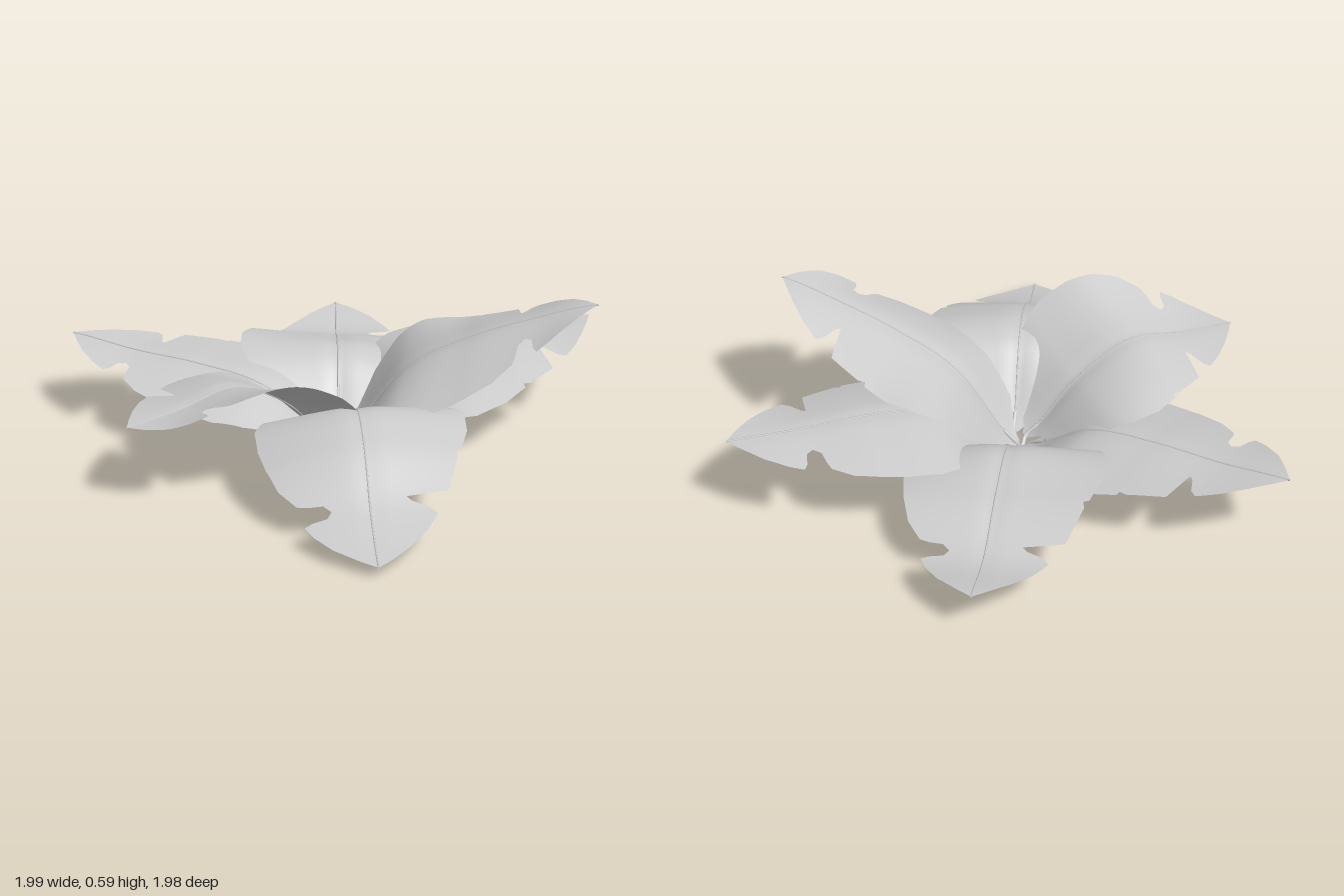
import * as THREE from 'three';

const REF = 0.36; // half-width at which the edge heights apply

// Half-width of the blade along its length, one torn notch or more on each side
const wedgeSide = [[0, .015], [.03, .05], [.07, .14], [.12, .25], [.2, .33], [.3, .37], [.42, .365], [.52, .33],
  [.525, .31], [.55, .315], [.63, .285], [.675, .268], [.68, .235], [.695, .125], [.71, .14], [.735, .2],
  [.76, .222], [.83, .178], [.9, .115], [.96, .05], [1, 0]];
const roundSide = [[0, .015], [.03, .05], [.07, .13], [.12, .24], [.2, .31], [.3, .35], [.42, .345], [.52, .325],
  [.62, .29], [.69, .235], [.7, .2], [.705, .15], [.73, .125], [.755, .14], [.765, .19], [.78, .215],
  [.83, .19], [.9, .135], [.96, .06], [1, 0]];

// Straight-line interpolation in a profile
function widthAt(profile, u) {
  for (let i = 1; i < profile.length; i++) {
    const [u0, w0] = profile[i - 1], [u1, w1] = profile[i];
    if (u <= u1) return w0 + (w1 - w0) * (u - u0) / (u1 - u0);
  }
  return 0;
}

// Each leaf: base and tip in plan [x, z], then heights from base to tip
// along the rib and along the left and right edges, seen looking outward.
// A positive sweep carries the left edge towards the tip, a negative one back
const leaves = [
  { name: 'westLeaf', base: [.06, .02], tip: [-1, -.02], mirror: true, wide: [.93, .96], sweep: 0,
    rib: [.03, .19, .235, .25, .28], left: [.06, .13, .16, .2, .28], right: [.06, .16, .2, .23, .28] },
  { name: 'northLeaf', base: [.07, -.05], tip: [-.3, -.99], wide: [1, 1], sweep: 0,
    rib: [.03, .23, .21, .13, .17], left: [.08, .23, .24, .14, .17], right: [.06, .15, .17, .12, .16] },
  { name: 'northEastLeaf', base: [.12, -.05], tip: [.8, -.84], mirror: true, wide: [1, 1], sweep: .2,
    rib: [.03, .25, .3, .3, .31], left: [.1, .22, .25, .25, .3], right: [.05, .15, .2, .22, .3] },
  { name: 'eastLeaf', base: [.1, -.01], tip: [.99, -.2], wide: [1, .97], sweep: -.12,
    rib: [.03, .31, .44, .525, .59], left: [.1, .33, .39, .46, .59], right: [.08, .2, .29, .39, .59] },
  { name: 'southEastLeaf', base: [.15, .05], tip: [.6, .985], wide: [1, 1.03], sweep: 0,
    rib: [.03, .27, .26, .11, .04], left: [.08, .25, .22, .11, .04], right: [.1, .2, .16, .06, .04] },
  { name: 'southWestLeaf', base: [.1, .05], tip: [-.39, .77], mirror: true, wide: [1, .98], sweep: -.22,
    rib: [.03, .23, .34, .31, .29], left: [.15, .33, .45, .42, .3], right: [.08, .22, .25, .25, .28] },
];

const heightCurve = (list) => {
  const curve = new THREE.SplineCurve(list.map((h, i) => new THREE.Vector2(i / 4, h)));
  return (u) => curve.getPoint(u).y;
};

// Surface point of a leaf: u runs base to tip, v is the offset to the right
function leafSurface(leaf) {
  const base = new THREE.Vector2(...leaf.base);
  const along = new THREE.Vector2(...leaf.tip).sub(base);
  const dir = along.clone().normalize();
  const [rib, left, right] = [leaf.rib, leaf.left, leaf.right].map(heightCurve);
  return (u, v) => {
    const k = Math.pow(Math.abs(v) / REF, 1.4);
    const y = THREE.MathUtils.lerp(rib(u), (v < 0 ? left : right)(u), k);
    // shallow fold along the rib
    const fold = 0.012 * Math.min(1, Math.abs(v) / 0.05) * (1 - u) * Math.min(1, u * 8);
    const s = u + leaf.sweep * Math.max(0, -v) * Math.max(0, 1 - u * 1.4);
    return new THREE.Vector3(base.x + along.x * s - dir.y * v, y + fold, base.y + along.y * s + dir.x * v);
  };
}

function bladeGeometry(leaf, surface) {
  const leftSide = leaf.mirror ? roundSide : wedgeSide;
  const rightSide = leaf.mirror ? wedgeSide : roundSide;
  const rows = [...new Set([...Array.from({ length: 81 }, (_, i) => i / 80),
    ...wedgeSide.map((p) => p[0]), ...roundSide.map((p) => p[0])])].sort((a, b) => a - b);
  const half = 12, cols = half * 2 + 1, pos = [], index = [];
  rows.forEach((u, r) => {
    const wl = widthAt(leftSide, u) * leaf.wide[0], wr = widthAt(rightSide, u) * leaf.wide[1];
    for (let c = 0; c < cols; c++) {
      const s = (c - half) / half;
      pos.push(...surface(u, s * (s < 0 ? wl : wr)).toArray());
      if (r > 0 && c > 0) {
        const b = r * cols + c, a = b - 1, d = b - cols, e = a - cols;
        index.push(e, d, b, e, b, a);
      }
    }
  });
  const geo = new THREE.BufferGeometry();
  geo.setAttribute('position', new THREE.Float32BufferAttribute(pos, 3));
  geo.setIndex(index);
  geo.computeVertexNormals();
  return geo;
}

export function createModel() {
  const model = new THREE.Group();
  model.name = 'leafRosette';
  const material = new THREE.MeshStandardMaterial({ color: 0xcccccc, side: THREE.DoubleSide });
  const add = (parent, geo, name) => {
    const mesh = new THREE.Mesh(geo, material);
    mesh.name = name;
    parent.add(mesh);
  };

  for (const leaf of leaves) {
    const group = new THREE.Group();
    group.name = leaf.name;
    const surface = leafSurface(leaf);
    add(group, bladeGeometry(leaf, surface), 'blade');

    // Thin rib along the fold
    const ribPoints = Array.from({ length: 16 }, (_, i) => surface(i / 15, 0));
    add(group, new THREE.TubeGeometry(new THREE.CatmullRomCurve3(ribPoints), 48, 0.004, 5), 'rib');

    // Short stalk joining the blade to the middle
    const start = surface(0, 0);
    const foot = new THREE.Vector3(0.09 + (start.x - 0.09) * 0.4, 0.01, start.z * 0.4);
    add(group, new THREE.TubeGeometry(new THREE.CatmullRomCurve3([foot, start, surface(0.06, 0)]), 8, 0.009, 6), 'stalk');
    model.add(group);
  }
  return model;
}
